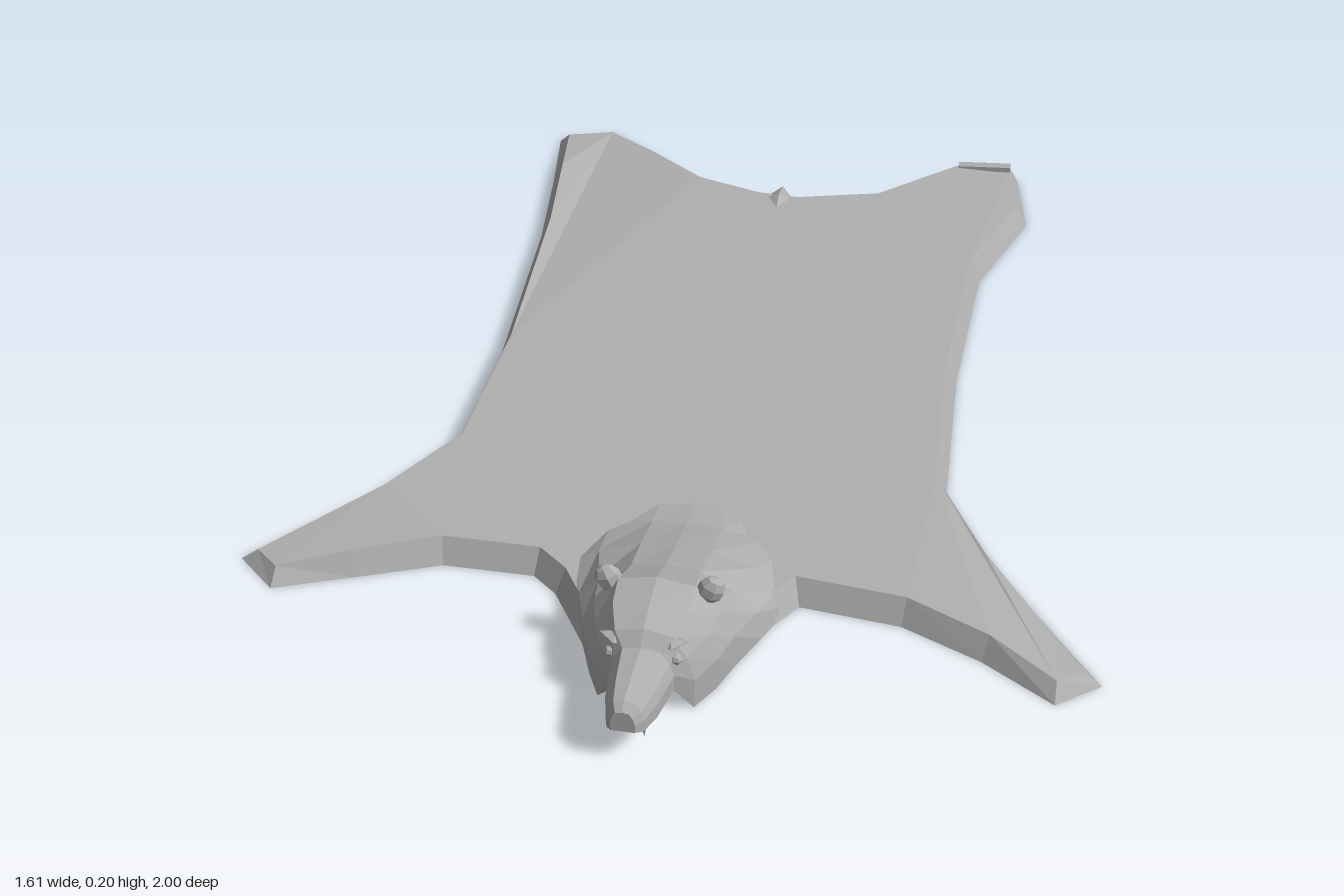
import * as THREE from 'three';

const hide = new THREE.MeshStandardMaterial({ color: 0xb0b0b0, flatShading: true });
hide.name = 'grey hide';

function named(name, geometry) {
  const m = new THREE.Mesh(geometry, hide);
  m.name = name;
  return m;
}

function meshFrom(name, tris) {
  const g = new THREE.BufferGeometry();
  g.setAttribute('position', new THREE.Float32BufferAttribute(tris.flat(2), 3));
  g.computeVertexNormals();
  return named(name, g);
}

// Pelt thickness: thinner towards the front paws and the right hind paw
function peltHeight(x, z) {
  const frontPaw = THREE.MathUtils.smoothstep(Math.abs(x), 0.5, 0.82);
  const hindPaw = x < 0 ? THREE.MathUtils.smoothstep(-z, 0.8, 1) : 0;
  return 0.053 - 0.026 * Math.max(frontPaw, hindPaw);
}

// Flat pelt: ground outline as x, z corners, with a bevelled rim
function pelt() {
  const back = [
    [-0.55, -0.955], [-0.42, -1], [-0.29, -0.9], [-0.16, -0.79], [-0.02, -0.75],
    [0.06, -0.745], [0.235, -0.79], [0.415, -0.95], [0.56, -0.955], [0.59, -0.77]];
  const left = [
    [0.5, -0.525], [0.48, -0.155], [0.49, 0.21], [0.595, 0.4], [0.74, 0.595], [0.805, 0.68],
    [0.725, 0.74], [0.59, 0.655], [0.44, 0.59], [0.25, 0.57], [0.2, 0.64], [0.15, 0.76]];
  const right = [
    [-0.09, 0.78], [-0.2, 0.61], [-0.25, 0.57], [-0.425, 0.57], [-0.58, 0.63], [-0.725, 0.685],
    [-0.805, 0.615], [-0.6, 0.4], [-0.495, 0.235], [-0.48, -0.09], [-0.5, -0.54], [-0.525, -0.77]];
  const rim = [...back, ...left, ...right], n = rim.length;
  const base = rim.map(([x, z]) => [x, 0, z]);
  // Move each rim corner inwards along its mitre
  const top = rim.map(([x, z], i) => {
    const p = rim[(i + n - 1) % n], q = rim[(i + 1) % n];
    const a = new THREE.Vector2(p[1] - z, x - p[0]).normalize();
    const b = new THREE.Vector2(z - q[1], q[0] - x).normalize();
    const m = a.clone().add(b).normalize();
    const d = 0.024 / Math.max(0.6, m.dot(a));
    return [x + m.x * d, peltHeight(x, z), z + m.y * d];
  });
  const tris = [];
  const fill = (pts, up) => {
    const flat = pts.map((p) => new THREE.Vector2(p[0], p[2]));
    for (const [a, b, c] of THREE.ShapeUtils.triangulateShape(flat, [])) {
      const area = flat[b].clone().sub(flat[a]).cross(flat[c].clone().sub(flat[a]));
      tris.push((area < 0) === up ? [pts[a], pts[b], pts[c]] : [pts[a], pts[c], pts[b]]);
    }
  };
  fill(top, true);
  fill(base, false);
  for (let i = 0; i < n; i++) {
    const j = (i + 1) % n;
    tris.push([base[i], top[i], top[j]], [base[i], top[j], base[j]]);
  }
  return meshFrom('pelt', tris);
}

// One ring of the head; fullness blends a sloping neck (0) into a boxy skull (1)
function headRing([z, width, bottom, top, fullness, throat]) {
  const cx = 0.02 - 0.05 * Math.max(0, z - 0.8);
  const mix = (neck, skull) => width * THREE.MathUtils.lerp(neck, skull, fullness);
  const level = (f) => bottom + (top - bottom) * f;
  const half = [
    [width * 0.5, throat], [width, bottom], [mix(0.9, 1.03), level(0.38)],
    [mix(0.66, 0.88), level(0.67)], [mix(0.3, 0.58), level(0.94)]];
  return [
    ...half.map(([x, y]) => [cx + x, y, z]), [cx, top, z],
    ...half.reverse().map(([x, y]) => [cx - x, y, z])];
}

// Neck, skull and muzzle: z, half width, bottom, top, fullness, throat height
function head() {
  const rings = [
    [0.36, 0.22, 0.01, 0.05, 0, 0.01],
    [0.45, 0.22, 0, 0.068, 0, 0],
    [0.56, 0.22, 0, 0.112, 0, 0],
    [0.66, 0.175, 0, 0.153, 0.2, 0],
    [0.74, 0.138, 0, 0.195, 0.7, 0],
    [0.8, 0.114, 0, 0.192, 1, 0],
    [0.85, 0.086, 0, 0.175, 1, 0.045],
    [0.87, 0.056, 0.058, 0.15, 1, 0.062],
    [0.94, 0.044, 0.06, 0.144, 1, 0.068],
    [0.985, 0.032, 0.07, 0.138, 1, 0.075],
    [1, 0.021, 0.08, 0.125, 1, 0.08]].map(headRing);
  const tris = [], n = rings[0].length;
  for (let s = 0; s < rings.length - 1; s++) {
    const a = rings[s], b = rings[s + 1];
    for (let i = 0; i < n; i++) {
      const j = (i + 1) % n;
      tris.push([a[i], a[j], b[j]], [a[i], b[j], b[i]]);
    }
  }
  const tip = rings.at(-1);
  for (let i = 1; i < n - 1; i++) tris.push([tip[0], tip[i], tip[i + 1]]);
  return meshFrom('head', tris);
}

export function createModel() {
  const rug = new THREE.Group();
  rug.name = 'bearskinRug';
  rug.add(pelt(), head());

  for (const s of [1, -1]) {
    const side = s > 0 ? 'left' : 'right';

    // Rounded ears tilted outwards
    const ear = named(side + 'Ear', new THREE.SphereGeometry(0.028, 7, 5));
    ear.scale.set(0.9, 1.05, 0.65);
    ear.position.set(0.024 + s * 0.091, 0.176, 0.735);
    ear.rotation.z = -s * 0.4;

    // Brow above each eye
    const brow = named(side + 'Brow', new THREE.OctahedronGeometry(0.022));
    brow.scale.set(1.3, 0.6, 0.8);
    brow.position.set(0.018 + s * 0.05, 0.148, 0.848);
    brow.rotation.z = s * 0.3;

    // Eyeball set in the face
    const eye = named(side + 'Eye', new THREE.SphereGeometry(0.011, 6, 4));
    eye.position.set(0.018 + s * 0.058, 0.122, 0.858);

    rug.add(ear, brow, eye);

    // Long front fang and a shorter back tooth
    for (const [name, x, z, h] of [['Fang', 0.026, 0.96, 0.04], ['BackTooth', 0.036, 0.9, 0.022]]) {
      const tooth = named(side + name, new THREE.ConeGeometry(0.009, h, 5));
      tooth.rotation.x = Math.PI;
      tooth.position.set(0.012 + s * x, 0.072 - h / 2, z);
      rug.add(tooth);
    }
  }

  // Stubby tail on the rear edge
  const tail = named('tail', new THREE.OctahedronGeometry(1));
  tail.scale.set(0.04, 0.022, 0.065);
  tail.position.set(0.023, 0.044, -0.71);
  rug.add(tail);

  // Turned-up edge of the left hind paw
  const fold = named('hindPawFold', new THREE.BoxGeometry(0.12, 0.012, 0.02));
  fold.position.set(0.48, 0.055, -0.92);
  fold.rotation.z = 0.06;
  rug.add(fold);

  return rug;
}
